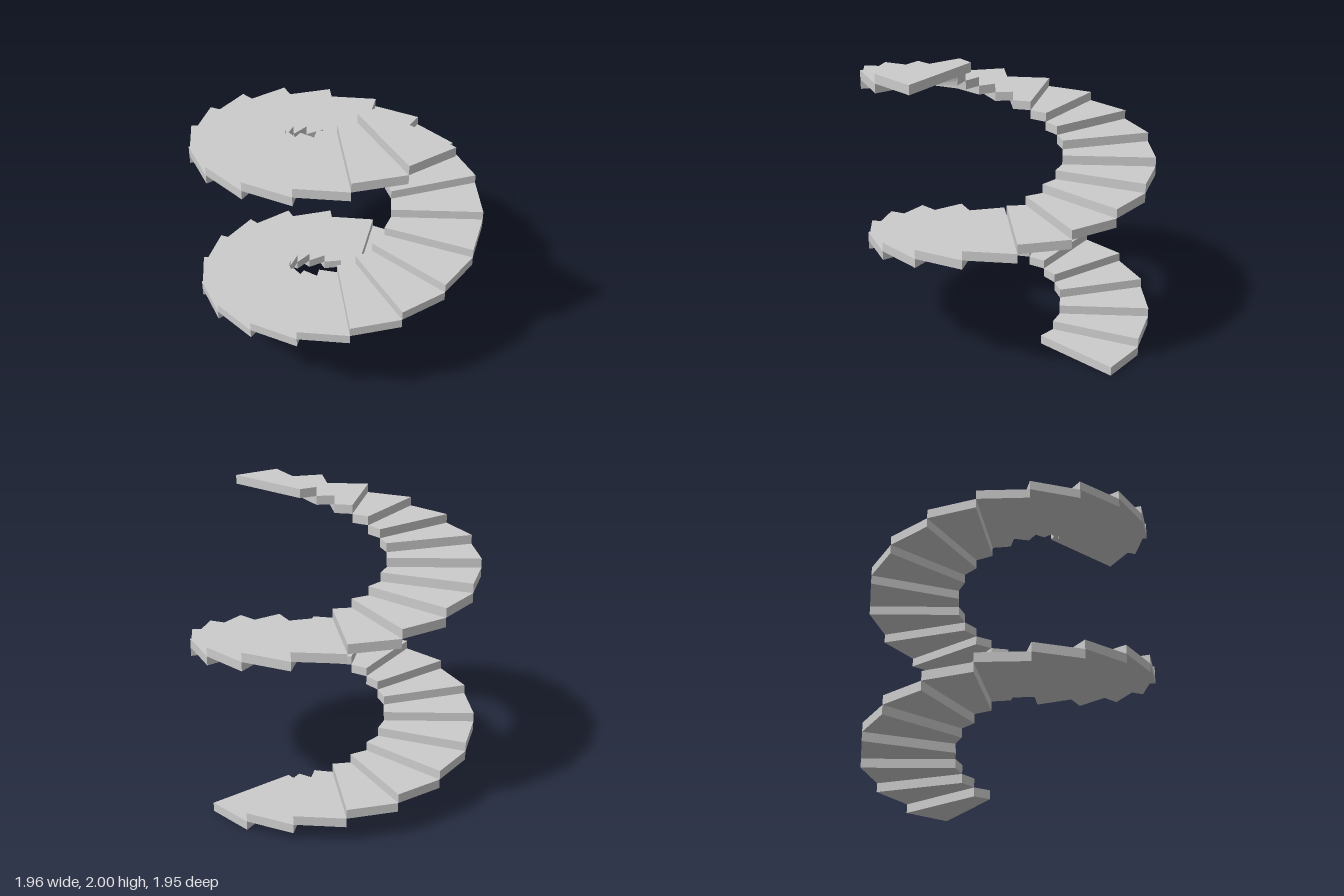
import * as THREE from 'three';

const STEPS = 32;
const PER_TURN = 18;
const RISE = 2 / STEPS;
const TURN = (Math.PI * 2) / PER_TURN;
const INNER = 0.36;
const OUTER = 0.98;
const OFFSET = 0.06; // step edges run tangent to a small central circle

export function createModel() {
  const group = new THREE.Group();
  group.name = 'spiralStaircase';
  const material = new THREE.MeshStandardMaterial({ color: 0xcccccc, flatShading: true });

  // Point where a step edge meets a circle of the given radius
  const corner = (radius, angle) => {
    const a = angle - Math.asin(OFFSET / radius);
    return new THREE.Vector2(radius * Math.cos(a), radius * Math.sin(a));
  };

  // Wedge-shaped tread, laid flat with its thickness upward
  const tread = new THREE.Shape([
    corner(INNER, 0), corner(OUTER, 0), corner(OUTER, TURN), corner(INNER, TURN),
  ]);
  const geometry = new THREE.ExtrudeGeometry(tread, { depth: RISE, bevelEnabled: false });
  geometry.rotateX(-Math.PI / 2);

  // Steps climbing counter-clockwise
  for (let i = 0; i < STEPS; i++) {
    const step = new THREE.Mesh(geometry, material);
    step.name = `step${i + 1}`;
    step.position.y = i * RISE;
    step.rotation.y = i * TURN;
    group.add(step);
  }
  return group;
}
